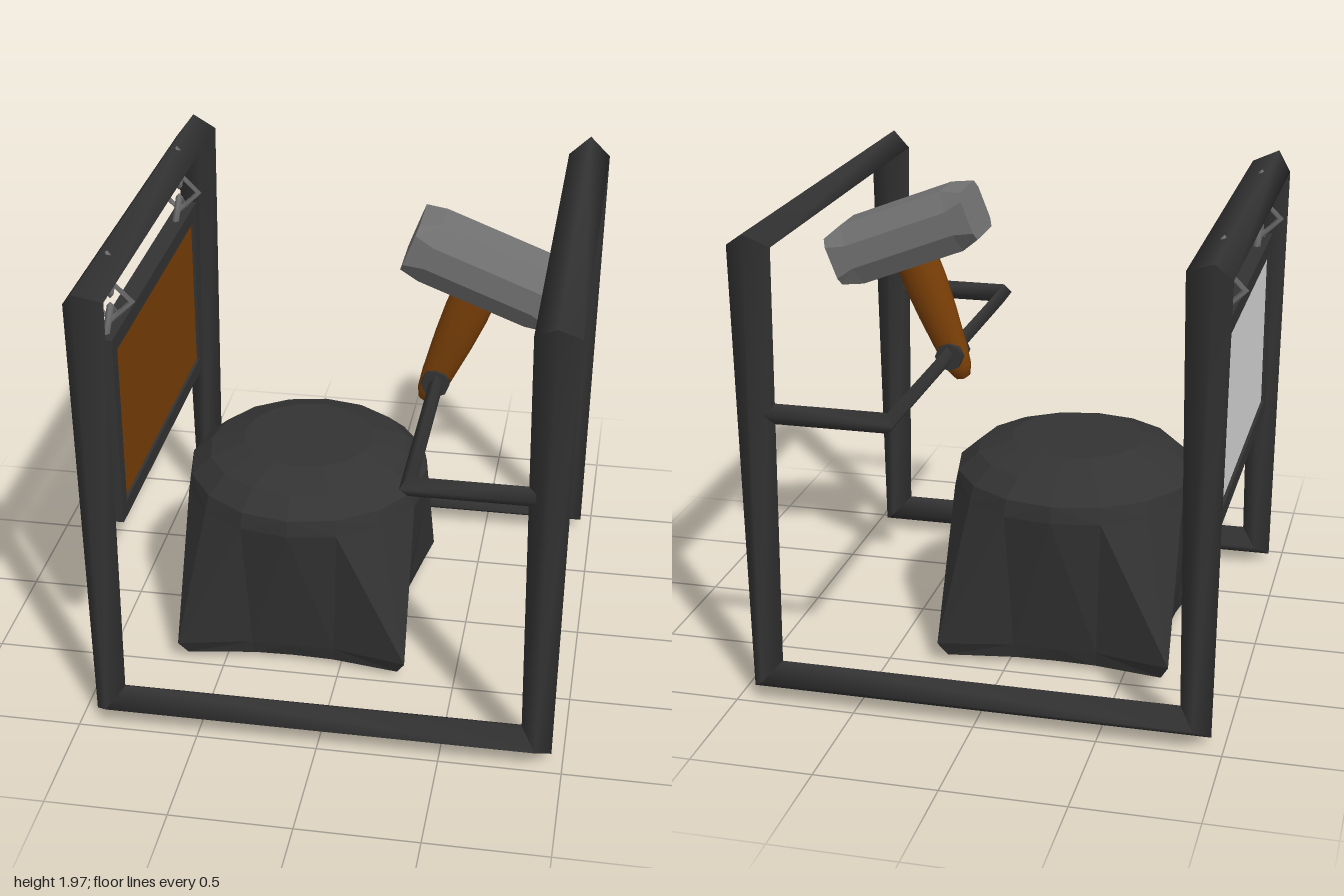
import * as THREE from 'three';

const V = (x, y, z) => new THREE.Vector3(x, y, z);
const mat = (name, color) => {
  const m = new THREE.MeshStandardMaterial({ color });
  m.name = name;
  return m;
};

// Skin a list of equal-sized rings, closing both ends; the winding is corrected by signed volume.
// flip(i) tells which quads are split along their other diagonal.
function loft(rings, smooth, flip = () => false) {
  const n = rings[0].length, pts = rings.flat(), idx = [];
  for (let k = 0; k < rings.length - 1; k++) {
    for (let i = 0; i < n; i++) {
      const a = k * n + i, b = k * n + (i + 1) % n;
      if (flip(i)) idx.push(a, b, a + n, b, b + n, a + n);
      else idx.push(a, b, b + n, a, b + n, a + n);
    }
  }
  [rings[0], rings[rings.length - 1]].forEach((ring, end) => {
    const s = pts.length;
    const mid = ring.reduce((t, p) => t.add(p), V(0, 0, 0)).divideScalar(n);
    pts.push(...ring, mid);
    for (let i = 0; i < n; i++) {
      const a = s + i, b = s + (i + 1) % n;
      if (end) idx.push(a, b, s + n);
      else idx.push(b, a, s + n);
    }
  });
  const o = pts[0], rel = pts.map(p => p.clone().sub(o));
  let vol = 0;
  for (let i = 0; i < idx.length; i += 3) {
    vol += rel[idx[i]].dot(rel[idx[i + 1]].clone().cross(rel[idx[i + 2]]));
  }
  if (vol < 0) idx.reverse();
  let g = new THREE.BufferGeometry().setFromPoints(pts);
  g.setIndex(idx);
  if (!smooth) g = g.toNonIndexed();
  g.computeVertexNormals();
  return g;
}

export function createModel() {
  const model = new THREE.Group();
  const iron = mat('dark iron', 0x333333);
  const wood = mat('brown wood', 0x7a3f07);
  const steel = mat('grey steel', 0x727272);
  const pale = mat('pale grey', 0xd6d6d6);

  const add = (parent, name, geo, material, x = 0, y = 0, z = 0) => {
    const m = new THREE.Mesh(geo, material);
    m.name = name;
    m.position.set(x, y, z);
    parent.add(m);
    return m;
  };

  // Four-sided ring from a centre and two half axes
  const ring4 = (c, a, b) => [
    c.clone().add(a), c.clone().add(b), c.clone().sub(a), c.clone().sub(b)];
  const Q = Math.SQRT1_2;

  // Bar frame: mitred diamond tubes forming one closed loop
  const frame = new THREE.Group();
  frame.name = 'frame';
  model.add(frame);
  const R = 0.089, Z = 0.911;
  const postX = sx => (sx > 0 ? 0.89 : -0.882);
  const topAxes = (sx, sz) => {
    const t = sx < 0 ? 0.28 : 0; // slight twist of the left bar
    const x = V(R, 0, 0), out = V(0, R * Q, sz * R * Q);
    const c = Math.cos(t), s = Math.sin(t);
    return {
      c: V(postX(sx), 1.91, sz * Z),
      px: x.clone().multiplyScalar(c).addScaledVector(out, s),
      out: out.clone().multiplyScalar(c).addScaledVector(x, -s),
    };
  };
  const lowAxes = (sx, sz) => ({
    c: V(postX(sx), 0.098, sz * Z), px: V(R * Q, -sx * R * Q, 0), pz: V(0, 0, R) });
  for (const s of [1, -1]) {
    for (const sz of [1, -1]) {
      const t = topAxes(s, sz), b = lowAxes(s, sz);
      add(frame, 'post', loft([
        ring4(t.c, t.px, t.out.clone().multiplyScalar(sz)),
        ring4(b.c, b.px, b.pz)], true), iron);
    }
    const f = topAxes(s, 1), k = topAxes(s, -1);
    add(frame, 'topBar', loft([ring4(f.c, f.px, f.out), ring4(k.c, k.px, k.out)], true), iron);
    const l = lowAxes(1, s), r = lowAxes(-1, s);
    add(frame, 'bottomBar', loft([
      ring4(l.c, l.pz, l.px.clone().negate()), ring4(r.c, r.pz, r.px)], true), iron);
  }

  // Hammer rail between the right-hand posts
  const rr = 0.043, up = V(0, rr, 0);
  const railCorner = sz => ring4(V(0.35, 1.238, sz * Z), up, V(-rr * Q, 0, sz * rr * Q));
  for (const sz of [1, -1]) {
    add(frame, 'railArm', loft([
      ring4(V(0.84, 1.238, sz * Z), up, V(0, 0, sz * rr)), railCorner(sz)], true), iron);
  }
  add(frame, 'rail', loft([railCorner(1), railCorner(-1)], true), iron);

  // Hammer: octagonal head with tapered ends, oval handle
  const hammer = new THREE.Group();
  hammer.name = 'hammer';
  hammer.position.set(0.54, 1.75, 0);
  hammer.rotation.z = -0.371;
  model.add(hammer);
  const headRing = (u, half, top, w) => [
    [-top, w], [-half, 0.14], [half, 0.14], [top, w],
    [top, -w], [half, -0.14], [-half, -0.14], [-top, -w],
  ].map(([v, z]) => V(u, v, z));
  add(hammer, 'hammerHead', loft([
    headRing(-0.325, 0.07, 0.104, 0.115), headRing(-0.24, 0.05, 0.133, 0.09),
    headRing(0.23, 0.05, 0.133, 0.09), headRing(0.312, 0.07, 0.104, 0.115)], false), steel);
  const grip = [[0, -0.675], [0.032, -0.665], [0.054, -0.62], [0.067, -0.54],
    [0.085, -0.36], [0.094, -0.22], [0.094, -0.09]].map(p => new THREE.Vector2(...p));
  add(hammer, 'hammerHandle', new THREE.LatheGeometry(grip, 14), wood).scale.z = 0.77;
  const pivot = add(model, 'hammerPivot',
    new THREE.CylinderGeometry(0.06, 0.06, 0.135, 8), iron, 0.345, 1.234, 0);
  pivot.rotation.x = Math.PI / 2;

  // Block: round top flowing into four flared feet
  // Each row: height, radius at the sides, between, and at the feet
  const rows = [
    [0.008, 0.36, 0.37, 0.4], [0.035, 0.41, 0.45, 0.65], [0.1, 0.43, 0.465, 0.7],
    [0.71, 0.525, 0.53, 0.535], [0.78, 0.515, 0.515, 0.515],
    [0.855, 0.43, 0.43, 0.43], [0.908, 0.28, 0.28, 0.28]];
  const blockRings = rows.map(([y, side, mid, foot]) =>
    Array.from({ length: 16 }, (_, i) => {
      const a = i * Math.PI / 8, r = [side, mid, foot, mid][i % 4];
      return V(r * Math.cos(a), y, r * Math.sin(a));
    }));
  add(model, 'block', loft(blockRings, false, i => i % 4 < 2), iron, -0.205, 0, 0);

  // Hanging sign
  const sign = new THREE.Group();
  sign.name = 'sign';
  sign.position.set(-0.882, 1.243, 0);
  model.add(sign);
  for (const s of [1, -1]) {
    add(sign, 'signRail', new THREE.BoxGeometry(0.08, 0.068, 1.41), iron, 0, s * 0.379, 0);
    add(sign, 'signStile', new THREE.BoxGeometry(0.08, 0.69, 0.062), iron, 0, 0, s * 0.674);
  }
  add(sign, 'signFace', new THREE.BoxGeometry(0.027, 0.7, 1.3), wood, 0.0135, 0, 0);
  add(sign, 'signBack', new THREE.BoxGeometry(0.027, 0.7, 1.3), pale, -0.0135, 0, 0);

  // Chains: three diamond links on each side
  const link = new THREE.TorusGeometry(0.087, 0.015, 4, 4);
  for (const sz of [1, -1]) {
    for (const [dy, turn] of [[-0.11, 1], [0, 0], [0.11, 1]]) {
      const m = add(model, 'chainLink', link, steel, -0.882, 1.762 + dy, sz * 0.563);
      m.rotation.y = turn * Math.PI / 2;
    }
  }
  return model;
}
